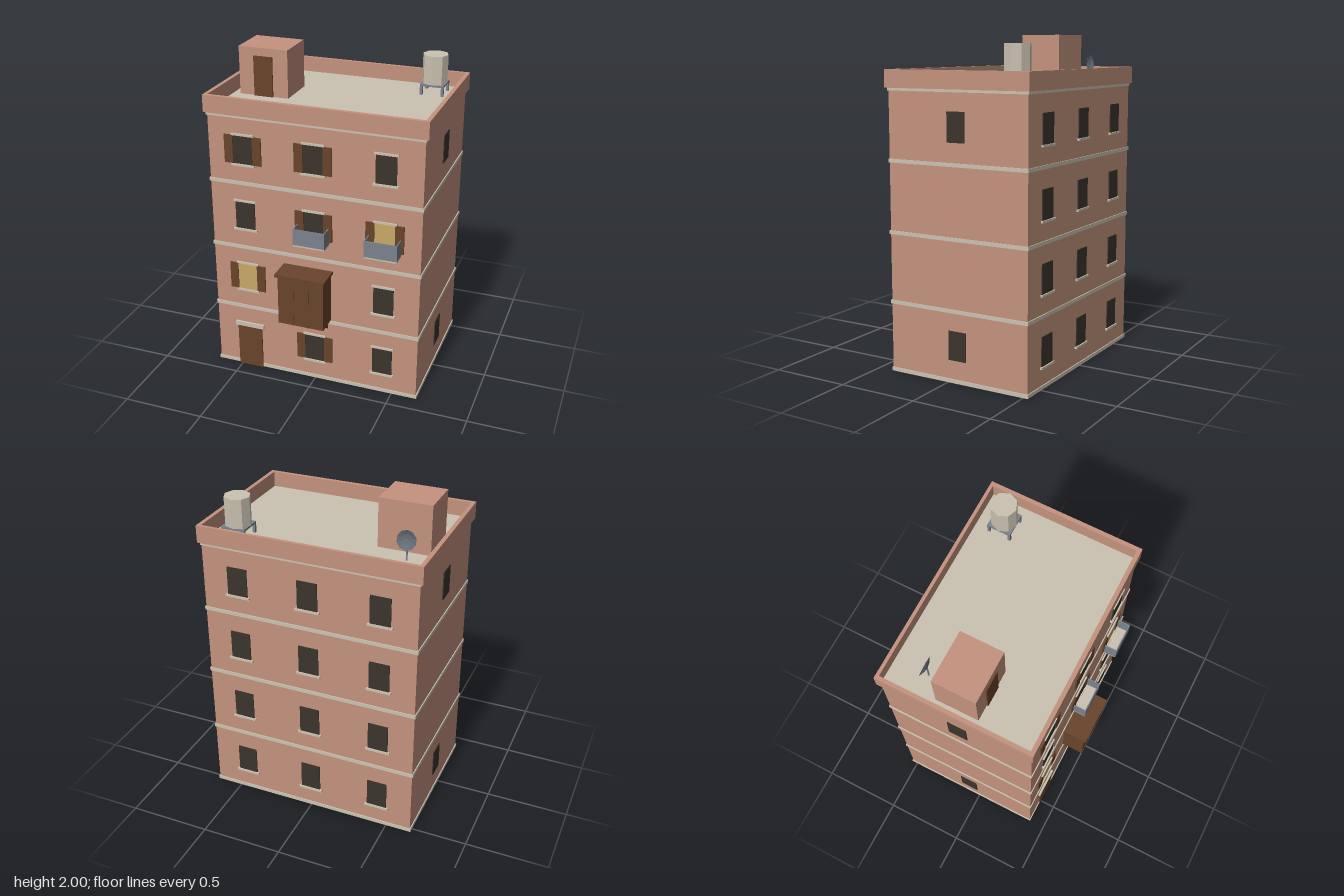
import * as THREE from 'three';

const mat = (name, color, side = THREE.FrontSide) => {
  const m = new THREE.MeshStandardMaterial({ color, side });
  m.name = name;
  return m;
};

export function createModel() {
  const building = new THREE.Group();
  building.name = 'apartmentBuilding';

  const plaster = mat('plaster', 0xc4937e);
  const stone = mat('paleStone', 0xcbc3b2);
  const wood = mat('wood', 0x69442b);
  const glass = mat('darkGlass', 0x3b342d);
  const litGlass = mat('litGlass', 0xc9a866);
  const metal = mat('greyMetal', 0x7b838d);
  const dishMetal = mat('dishMetal', 0x646c76, THREE.DoubleSide);

  // Box given by its extents along each axis
  const box = (parent, name, m, [x0, x1], [y0, y1], [z0, z1]) => {
    const mesh = new THREE.Mesh(new THREE.BoxGeometry(x1 - x0, y1 - y0, z1 - z0), m);
    mesh.position.set((x0 + x1) / 2, (y0 + y1) / 2, (z0 + z1) / 2);
    mesh.name = name;
    parent.add(mesh);
    return mesh;
  };
  const group = (name, parent = building) => {
    const g = new THREE.Group();
    g.name = name;
    parent.add(g);
    return g;
  };

  const X = 0.656, FRONT = 0.393, BACK = -0.53, MID = (FRONT + BACK) / 2;
  const DECK = 1.705, STOREY = 0.42;
  const columns = [-0.437, 0, 0.437];

  // Main block, storey bands and roof deck
  box(building, 'walls', plaster, [-X, X], [0, 1.7], [BACK, FRONT]);
  for (const y of [0.015, 0.43, 0.85, 1.274, 1.69]) {
    box(building, 'storeyBand', stone, [-X - 0.006, X + 0.006], [y - 0.011, y + 0.011],
      [BACK - 0.006, FRONT + 0.006]);
  }
  box(building, 'roofDeck', stone, [-0.652, 0.652], [1.69, DECK], [-0.527, 0.387]);

  // Parapet ring, extruded upward
  const rect = (T, x, z0, z1) => {
    const s = new T();
    s.moveTo(-x, z0);
    s.lineTo(x, z0);
    s.lineTo(x, z1);
    s.lineTo(-x, z1);
    s.closePath();
    return s;
  };
  const ring = rect(THREE.Shape, 0.675, -0.408, 0.545);
  ring.holes.push(rect(THREE.Path, 0.65, -0.383, 0.525));
  const parapet = new THREE.Mesh(
    new THREE.ExtrudeGeometry(ring, { depth: 0.105, bevelEnabled: false }).rotateX(-Math.PI / 2), plaster);
  parapet.position.y = 1.695;
  parapet.name = 'parapet';
  building.add(parapet);

  // A window faces +z of its own group, with its wall plane at z = 0
  const addWindow = (x, y, z, turn, { lit, shutters, sill, lintel, width = 0.124 } = {}) => {
    const g = group('window');
    g.position.set(x, y, z);
    g.rotation.y = turn;
    const w = width / 2, h = 0.174;
    box(g, 'pane', lit ? litGlass : glass, [-w, w], [0, h], [-0.003, 0.006]);
    if (sill) box(g, 'sill', stone, [-w - 0.013, w + 0.013], [-0.013, 0], [-0.002, 0.014]);
    if (lintel) box(g, 'lintel', stone, [-w - 0.009, w + 0.009], [h, h + 0.012], [-0.002, 0.01]);
    if (shutters) {
      for (const s of [-1, 1]) {
        box(g, 'shutter', wood, s < 0 ? [-w - 0.054, -w] : [w, w + 0.054], [0, h], [-0.001, 0.009]);
      }
    }
  };

  // Front openings: D dark, S shuttered dark, L shuttered lit, - none
  ['-SD', 'L-D', 'DSL', 'SSD'].forEach((row, floor) => {
    const y = 0.139 + floor * STOREY;
    columns.forEach((x, i) => {
      const kind = row[i];
      if (kind !== '-') {
        addWindow(x, y, FRONT, 0,
          { lit: kind === 'L', shutters: kind !== 'D', sill: true, lintel: true });
      }
      addWindow(x, y, BACK, Math.PI, { sill: true });
    });
    // Side windows on the lowest and highest storeys
    if (floor === 0 || floor === 3) {
      for (const s of [-1, 1]) addWindow(s * X, y, MID, s * Math.PI / 2, { width: 0.116 });
    }
  });

  // Street door
  const entrance = group('entrance');
  box(entrance, 'door', wood, [-0.518, -0.357], [0, 0.287], [0.39, 0.403]);
  box(entrance, 'doorLintel', stone, [-0.534, -0.341], [0.287, 0.315], [0.39, 0.407]);

  // Open balconies with solid metal railings
  for (const x of [0, 0.438]) {
    const b = group('balcony');
    const x0 = x - 0.099, x1 = x + 0.099, rail = [0.969, 1.07];
    box(b, 'balconyFloor', stone, [x0 + 0.002, x1 - 0.002], [0.958, 0.972], [0.39, 0.479]);
    box(b, 'frontRail', metal, [x0, x1], rail, [0.475, 0.482]);
    box(b, 'sideRail', metal, [x0, x0 + 0.006], rail, [0.39, 0.475]);
    box(b, 'sideRail', metal, [x1 - 0.006, x1], rail, [0.39, 0.475]);
  }

  // Enclosed timber bay on slanted brackets
  const bay = group('timberBay');
  box(bay, 'bayBody', wood, [-0.18, 0.108], [0.45, 0.77], [0.39, 0.532]);
  box(bay, 'bayRoof', wood, [-0.195, 0.119], [0.768, 0.785], [0.39, 0.547]);
  for (const x of [-0.084, 0.012]) {
    box(bay, 'batten', wood, [x - 0.004, x + 0.004], [0.45, 0.768], [0.53, 0.535]);
  }
  for (const x of [-0.147, 0.075]) {
    const strut = box(bay, 'bracket', wood, [x - 0.012, x + 0.012], [0.415, 0.435], [0.38, 0.5]);
    strut.rotation.x = -0.58;
  }

  // Stair house on the roof
  const stairs = group('stairHouse');
  box(stairs, 'stairHouseWalls', plaster, [-0.605, -0.292], [1.7, 2], [-0.215, 0.046]);
  box(stairs, 'stairHouseDoor', wood, [-0.508, -0.388], [1.7, 1.95], [0.04, 0.055]);

  // Water tank on a four-legged stand
  const tank = group('waterTank');
  tank.position.set(0.497, 0, -0.372);
  const drum = new THREE.Mesh(new THREE.CylinderGeometry(0.078, 0.078, 0.175, 8).toNonIndexed(), stone);
  drum.geometry.computeVertexNormals();
  drum.position.y = 1.8595;
  drum.name = 'tankDrum';
  tank.add(drum);
  box(tank, 'tankStand', metal, [-0.073, 0.073], [1.76, 1.772], [-0.073, 0.073]);
  for (const x of [-0.065, 0.065]) {
    for (const z of [-0.065, 0.065]) {
      box(tank, 'standLeg', metal, [x - 0.008, x + 0.008], [1.7, 1.76], [z - 0.008, z + 0.008]);
    }
  }

  // Dish aerial on a short mast
  const aerial = group('dishAerial');
  aerial.position.set(-0.5, 0, -0.315);
  const mast = new THREE.Mesh(new THREE.CylinderGeometry(0.005, 0.005, 0.12, 6), metal);
  mast.position.y = 1.76;
  mast.name = 'mast';
  aerial.add(mast);
  const profile = [[0.002, 0], [0.032, 0.005], [0.058, 0.018]].map(p => new THREE.Vector2(...p));
  const bowl = new THREE.Mesh(new THREE.LatheGeometry(profile, 10).toNonIndexed(), dishMetal);
  bowl.geometry.computeVertexNormals();
  bowl.position.set(0, 1.825, 0.004);
  bowl.rotation.x = -Math.PI / 2 + 0.2;
  bowl.name = 'dish';
  aerial.add(bowl);

  return building;
}
